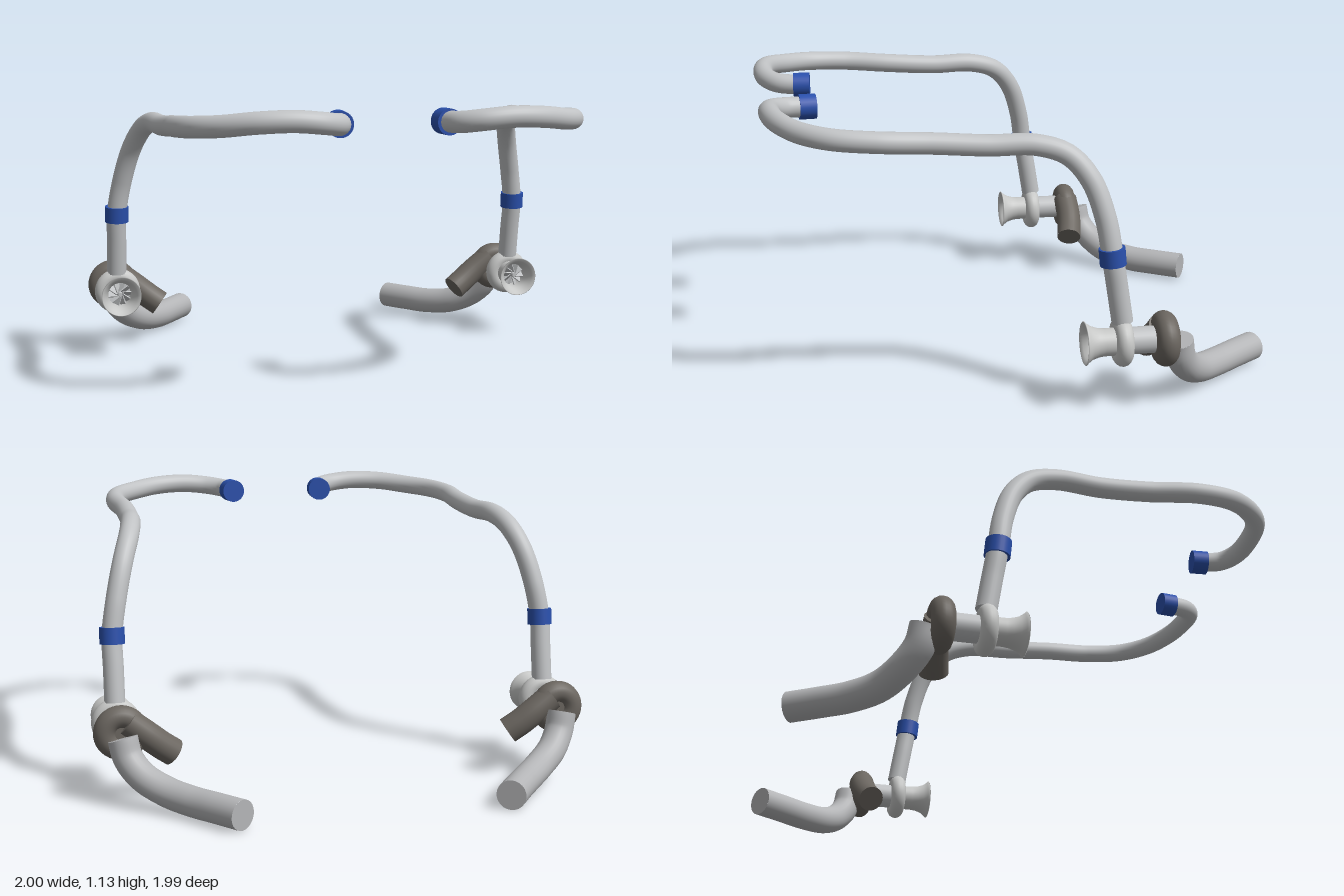
import * as THREE from 'three';

const mat = (name, color, side = THREE.FrontSide) => {
  const m = new THREE.MeshStandardMaterial({ color, side });
  m.name = name;
  return m;
};

export function createModel() {
  const aluminium = mat('polished aluminium', 0xc0c2c4);
  const housing = mat('cast housing', 0xc6c7c6, THREE.DoubleSide);
  const steel = mat('exhaust steel', 0xb4b5b7);
  const iron = mat('dark cast iron', 0x6b6660);
  const blue = mat('blue silicone', 0x2a50ac);

  const root = new THREE.Group();
  root.name = 'twinTurboPiping';

  const add = (parent, name, geometry, material) => {
    const mesh = new THREE.Mesh(geometry, material);
    mesh.name = name;
    parent.add(mesh);
    return mesh;
  };

  // Round pipe through a list of points, closed by a disc at each end
  const pipe = (parent, name, points, radius, material, segments) => {
    const group = new THREE.Group();
    group.name = name;
    parent.add(group);
    const curve = new THREE.CatmullRomCurve3(points, false, 'centripetal');
    add(group, name + 'Wall', new THREE.TubeGeometry(curve, segments, radius, 24), material);
    for (const t of [0, 1]) {
      const end = add(group, name + 'End', new THREE.CircleGeometry(radius, 24), material);
      const dir = curve.getTangent(t).multiplyScalar(t ? 1 : -1);
      end.position.copy(curve.getPoint(t));
      end.quaternion.setFromUnitVectors(new THREE.Vector3(0, 0, 1), dir);
    }
  };

  // Short hose coupling around an axis
  const coupling = (parent, name, centre, axis, radius, length) => {
    const mesh = add(parent, name, new THREE.CylinderGeometry(radius, radius, length, 28), blue);
    mesh.position.copy(centre);
    mesh.quaternion.setFromUnitVectors(new THREE.Vector3(0, 1, 0), axis.normalize());
  };

  for (const s of [1, -1]) {
    const side = new THREE.Group();
    side.name = s > 0 ? 'leftSide' : 'rightSide';
    root.add(side);
    const v = (x, y, z) => new THREE.Vector3(x * s, y, z);

    // Turbocharger, its axis along z
    const turbo = new THREE.Group();
    turbo.name = 'turbocharger';
    turbo.position.copy(v(0.893, 0.28, 0));
    side.add(turbo);

    const bell = [[0.053, -0.32], [0.053, -0.25], [0.056, -0.225], [0.064, -0.2],
      [0.076, -0.183], [0.084, -0.175], [0.081, -0.172], [0.068, -0.183],
      [0.056, -0.205], [0.05, -0.23], [0.049, -0.29]];
    add(turbo, 'intakeBell', new THREE.LatheGeometry(
      bell.map(([r, z]) => new THREE.Vector2(r, z)), 36).rotateX(Math.PI / 2), housing);
    add(turbo, 'compressorVolute', new THREE.TorusGeometry(0.064, 0.033, 16, 40), housing)
      .position.z = -0.318;
    add(turbo, 'centreHousing', new THREE.CylinderGeometry(0.052, 0.052, 0.21, 28)
      .rotateX(Math.PI / 2), aluminium).position.z = -0.385;
    add(turbo, 'turbineVolute', new THREE.TorusGeometry(0.062, 0.045, 18, 40), iron)
      .position.z = -0.485;
    add(turbo, 'turbineBackPlate', new THREE.CylinderGeometry(0.06, 0.06, 0.05, 28)
      .rotateX(Math.PI / 2), iron).position.z = -0.485;

    // Compressor wheel inside the bell
    const wheel = new THREE.Group();
    wheel.name = 'compressorWheel';
    wheel.position.z = -0.25;
    turbo.add(wheel);
    add(wheel, 'wheelHub', new THREE.CylinderGeometry(0.009, 0.016, 0.06, 14)
      .rotateX(Math.PI / 2), aluminium);
    for (let i = 0; i < 10; i++) {
      const blade = new THREE.BoxGeometry(0.038, 0.004, 0.035);
      blade.rotateX(0.6 * s).translate(0.029, 0, 0).rotateZ(i * Math.PI / 5);
      add(wheel, 'wheelBlade', blade, aluminium);
    }

    // Dark exhaust inlet leaving the turbine volute at a tangent
    pipe(side, 'turbineInlet', [v(0.868, 0.322, -0.485), v(0.79, 0.262, -0.485),
      v(0.74, 0.222, -0.478), v(0.69, 0.186, -0.466)], 0.055, iron, 16);

    // Exhaust downpipe sweeping down, inward and back
    pipe(side, 'downpipe', [v(0.893, 0.27, -0.54), v(0.877, 0.2, -0.555),
      v(0.83, 0.135, -0.6), v(0.745, 0.087, -0.67), v(0.66, 0.07, -0.765),
      v(0.59, 0.069, -0.86), v(0.516, 0.069, -0.967)], 0.058, steel, 48);

    // Charge pipe rising from the compressor and running forward and inward
    pipe(side, 'chargePipe', [v(0.895, 0.36, -0.318), v(0.895, 0.49, -0.297),
      v(0.895, 0.62, -0.275), v(0.873, 0.76, -0.252), v(0.838, 0.9, -0.203),
      v(0.803, 0.99, -0.125), v(0.78, 1.028, -0.01), v(0.763, 1.03, 0.17),
      v(0.757, 1.045, 0.38), v(0.77, 1.06, 0.58), v(0.738, 1.07, 0.74),
      v(0.655, 1.08, 0.85), v(0.54, 1.095, 0.922), v(0.41, 1.1, 0.948),
      v(0.3, 1.09, 0.937), v(0.235, 1.08, 0.89), v(0.207, 1.075, 0.8)], 0.041, aluminium, 160);

    coupling(side, 'lowerCoupling', v(0.895, 0.62, -0.275), v(-0.01, 1, 0.1), 0.05, 0.066);
    coupling(side, 'frontCoupling', v(0.207, 1.075, 0.795), v(0.1, 0, 1), 0.05, 0.066);
  }
  return root;
}
